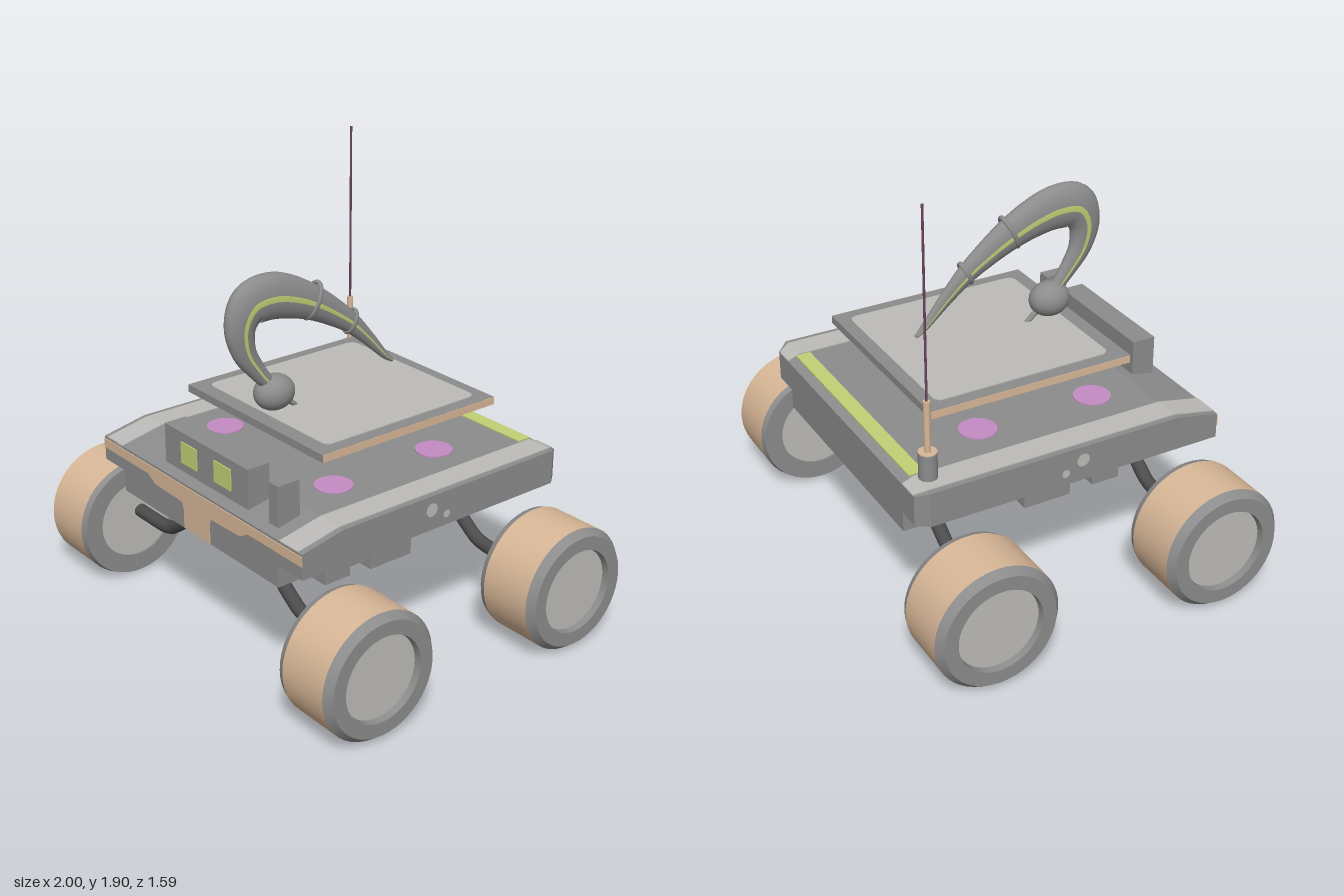
import * as THREE from 'three';
import { toCreasedNormals } from 'three/addons/utils/BufferGeometryUtils.js';

const paint = (name, color) => {
  const m = new THREE.MeshStandardMaterial({ color });
  m.name = name;
  return m;
};

// Skin over closed rings that run counter-clockwise about the direction of travel
function loft(rings, isAccent = () => false) {
  const n = rings[0].length, plain = [], accent = [];
  for (let i = 0; i < rings.length - 1; i++) {
    for (let j = 0; j < n; j++) {
      const k = (j + 1) % n, a = i * n + j, b = i * n + k, c = b + n, d = a + n;
      (isAccent(j) ? accent : plain).push(a, b, d, b, c, d);
    }
  }
  const last = (rings.length - 1) * n;
  for (let j = 1; j < n - 1; j++) plain.push(0, j + 1, j, last, last + j, last + j + 1);
  const g = new THREE.BufferGeometry().setFromPoints(rings.flat());
  g.setIndex([...plain, ...accent]);
  g.addGroup(0, plain.length, 0);
  g.addGroup(plain.length, accent.length, 1);
  g.computeVertexNormals();
  return g;
}

export function createModel() {
  const model = new THREE.Group();
  model.name = 'rover';
  const grey = paint('bodyGrey', 0x8c8c8c);
  const light = paint('lightGrey', 0xbdbbb8);
  const dark = paint('darkGrey', 0x4c4c4c);
  const tan = paint('tan', 0xd8b797);
  const lime = paint('lime', 0xc2d175);
  const pink = paint('pink', 0xc48cc4);
  const plum = paint('plum', 0x6b4460);

  const add = (name, geo, mat, parent = model) => {
    const m = new THREE.Mesh(geo, mat);
    m.name = name;
    parent.add(m);
    return m;
  };
  // Box given by its limits on each axis
  const box = (name, mat, x0, x1, y0, y1, z0, z1) =>
    add(name, new THREE.BoxGeometry(x1 - x0, y1 - y0, z1 - z0), mat)
      .position.set((x0 + x1) / 2, (y0 + y1) / 2, (z0 + z1) / 2);
  const cylinder = (name, mat, r, y0, y1, x, z, sides = 24) =>
    add(name, new THREE.CylinderGeometry(r, r, y1 - y0, sides), mat)
      .position.set(x, (y0 + y1) / 2, z);
  // Pipe through points with rounded bends
  const pipe = (name, mat, pts, r) => {
    const v = pts.map(p => new THREE.Vector3(...p));
    const path = new THREE.CurvePath();
    let from = v[0];
    for (let i = 1; i < v.length - 1; i++) {
      const a = v[i].clone().lerp(v[i - 1], 0.3), b = v[i].clone().lerp(v[i + 1], 0.3);
      path.add(new THREE.LineCurve3(from, a));
      path.add(new THREE.QuadraticBezierCurve3(a, v[i], b));
      from = b;
    }
    path.add(new THREE.LineCurve3(from, v[v.length - 1]));
    add(name, new THREE.TubeGeometry(path, 40, r, 14), mat);
  };

  // Hull: z, half width, top height
  const hull = [[0.67, 0.69, 0.72], [0.47, 0.69, 0.76], [-0.66, 0.69, 0.76], [-0.71, 0.65, 0.74]];
  const rect = (x0, x1, y0, y1, z) =>
    [[x0, y0], [x0, y1], [x1, y1], [x1, y0]].map(([x, y]) => new THREE.Vector3(x, y, z));
  const flat = rings => {
    const g = loft(rings).toNonIndexed();
    g.clearGroups();
    g.computeVertexNormals();
    return g;
  };
  add('hull', flat(hull.map(([z, w, y]) => rect(-w, w, 0.61, y, z))), grey);
  for (const s of [-1, 1]) {
    add('deckSideStrip', flat(hull.map(([z, , y]) => {
      const x = [s * 0.55, s * 0.665].sort((a, b) => a - b);
      if (z < -0.7) x[s > 0 ? 1 : 0] = s * 0.64;
      return rect(x[0], x[1], y - 0.004, y + 0.004, z);
    })), light);
    // Round marks on the hull sides
    for (const [z, y, r] of [[0.02, 0.7, 0.03], [-0.06, 0.66, 0.018]]) {
      const spot = add('sideSpot', new THREE.CircleGeometry(r, 10), light);
      spot.position.set(s * 0.693, y, z);
      spot.rotation.y = s * Math.PI / 2;
    }
    for (const z of [-0.28, 0.26]) cylinder('deckSpot', pink, 0.08, 0.758, 0.765, s * 0.37, z);
  }
  box('rearStripe', lime, -0.54, 0.54, 0.758, 0.765, -0.675, -0.61);

  // Nose trim, mirrored about the middle
  const half = [[0.69, 0.71], [0.69, 0.668], [0.35, 0.668], [0.3, 0.638], [0.1, 0.632], [0.09, 0.6], [0.09, 0.518]];
  const outline = [...half, ...half.map(([x, y]) => [-x, y]).reverse()].map(p => new THREE.Vector2(...p));
  add('noseTrim', new THREE.ExtrudeGeometry(new THREE.Shape(outline.reverse()),
    { depth: 0.004, bevelEnabled: false }), tan).position.z = 0.67;

  // Chassis and belly boxes
  box('chassis', grey, -0.54, 0.54, 0.515, 0.61, -0.705, 0.67);
  box('bellyBox', grey, -0.44, 0.44, 0.36, 0.52, -0.1, 0.12);
  box('bellyStep', grey, -0.44, 0.44, 0.41, 0.52, 0.13, 0.23);
  box('bellyFront', grey, -0.44, 0.44, 0.37, 0.52, 0.23, 0.36);
  for (const x of [-0.092, 0, 0.092]) {
    pipe('bellyPipe', dark, [[x, 0.53, 0.46], [x, 0.31, 0.4], [x, 0.31, -0.17], [x, 0.38, -0.23], [x, 0.53, -0.25]], 0.036);
  }

  // Wheels and axles; the lathe axis points outward
  const ring = pts => toCreasedNormals(
    new THREE.LatheGeometry(pts.map(p => new THREE.Vector2(...p)), 48), 0.5);
  for (const s of [-1, 1]) {
    for (const z of [-0.525, 0.525]) {
      const axleZ = z > 0 ? 0.5 : -0.47;
      pipe('axle', dark, [[s * 0.74, 0.3, axleZ], [s * 0.47, 0.3, axleZ], [s * 0.34, 0.39, axleZ], [s * 0.3, 0.53, axleZ]], 0.03);
      const wheel = new THREE.Group();
      wheel.name = 'wheel';
      wheel.position.set(0, 0.271, z);
      wheel.rotation.z = -s * Math.PI / 2;
      model.add(wheel);
      add('innerRim', ring([[0.18, 0.71], [0.18, 0.697], [0.262, 0.697], [0.271, 0.725]]), grey, wheel);
      add('tread', ring([[0.271, 0.725], [0.271, 0.965]]), tan, wheel);
      add('outerRim', ring([[0.271, 0.965], [0.245, 0.998], [0.185, 0.998], [0.18, 0.965]]), grey, wheel);
      const hub = add('hub', new THREE.CylinderGeometry(0.181, 0.181, 0.262, 40), light, wheel);
      hub.position.y = 0.837;
    }
  }

  // Front sensor boxes with windows
  box('sensorBox', grey, -0.29, 0.285, 0.72, 0.905, 0.515, 0.62);
  box('sensorMast', grey, 0.42, 0.478, 0.72, 0.905, 0.515, 0.62);
  box('window', lime, -0.17, -0.06, 0.77, 0.865, 0.619, 0.625);
  box('window', lime, 0.06, 0.175, 0.77, 0.865, 0.619, 0.625);

  // Raised panel
  box('panelFrame', grey, -0.456, 0.456, 0.927, 0.961, -0.535, 0.385);
  for (const s of [-1, 1]) box('panelEdge', tan, s * 0.457 - 0.002, s * 0.457 + 0.002, 0.928, 0.96, -0.533, 0.383);
  const w = 0.4, r = 0.035, face = new THREE.Shape();
  face.absarc(w - r, w - r, r, 0, Math.PI / 2);
  face.absarc(r - w, w - r, r, Math.PI / 2, Math.PI);
  face.absarc(r - w, r - w, r, Math.PI, Math.PI * 1.5);
  face.absarc(w - r, r - w, r, Math.PI * 1.5, Math.PI * 2);
  const plate = add('panelFace', new THREE.ExtrudeGeometry(face, { depth: 0.005, bevelEnabled: false }), light);
  plate.rotation.x = -Math.PI / 2;
  plate.position.set(0, 0.96, -0.08);

  // Antenna
  cylinder('antennaBase', grey, 0.038, 0.73, 0.876, -0.585, -0.615);
  cylinder('antennaCap', tan, 0.038, 0.876, 0.88, -0.585, -0.615);
  cylinder('antennaSleeve', tan, 0.014, 0.88, 1.1, -0.585, -0.615, 16);
  cylinder('antennaRod', plum, 0.005, 1.1, 1.9, -0.585, -0.615, 8);

  // Curved arm: z, y, half height and half width along the path
  const stations = [
    [0.3, 1.09, 0.03, 0.025], [0.36, 1.165, 0.04, 0.028], [0.42, 1.26, 0.055, 0.035],
    [0.435, 1.37, 0.075, 0.045], [0.39, 1.45, 0.097, 0.052], [0.3, 1.465, 0.1, 0.053],
    [0.19, 1.44, 0.09, 0.05], [0.07, 1.387, 0.073, 0.045], [-0.04, 1.32, 0.058, 0.036],
    [-0.13, 1.255, 0.045, 0.029], [-0.22, 1.17, 0.032, 0.021], [-0.33, 1.055, 0.016, 0.013],
    [-0.365, 1.028, 0.008, 0.008]];
  const spine = new THREE.CatmullRomCurve3(stations.map(([z, y]) => new THREE.Vector3(0, y, z)));
  const size = new THREE.CatmullRomCurve3(stations.map(([, , a, b], i) => new THREE.Vector3(a, b, i)));
  const xAxis = new THREE.Vector3(1, 0, 0);
  // Narrow faces at both sides carry the stripe
  const angles = [], steps = 9, gap = 0.13;
  for (const start of [0, Math.PI]) {
    angles.push(start - gap);
    for (let i = 0; i < steps; i++) angles.push(start + gap + i * (Math.PI - 2 * gap) / steps);
  }
  const rings = [];
  for (let i = 0; i <= 60; i++) {
    const t = i / 60, c = spine.getPoint(t), s = size.getPoint(t);
    const normal = spine.getTangent(t).cross(xAxis);
    rings.push(angles.map(q => c.clone()
      .addScaledVector(xAxis, s.y * Math.cos(q)).addScaledVector(normal, s.x * Math.sin(q))));
  }
  add('arm', loft(rings, j => j % (steps + 1) === 0), [grey, lime]);

  // Collars around the arm
  for (const [z, y, a, b] of [[0.075, 1.4, 0.077, 0.048], [-0.13, 1.262, 0.052, 0.035]]) {
    const collar = add('armCollar', new THREE.TorusGeometry(1, 0.13, 10, 32), grey);
    collar.scale.set(b, a, 0.08);
    collar.position.set(0, y, z);
    collar.rotation.x = -0.45;
  }

  // Ball at the arm's base with its short prop
  const ball = add('armBall', new THREE.SphereGeometry(1, 32, 20), grey);
  ball.scale.set(0.075, 0.077, 0.092);
  ball.position.set(0, 1.048, 0.272);
  pipe('ballProp', grey, [[0, 1.01, 0.22], [0, 0.985, 0.19], [0, 0.955, 0.16]], 0.012);

  return model;
}
